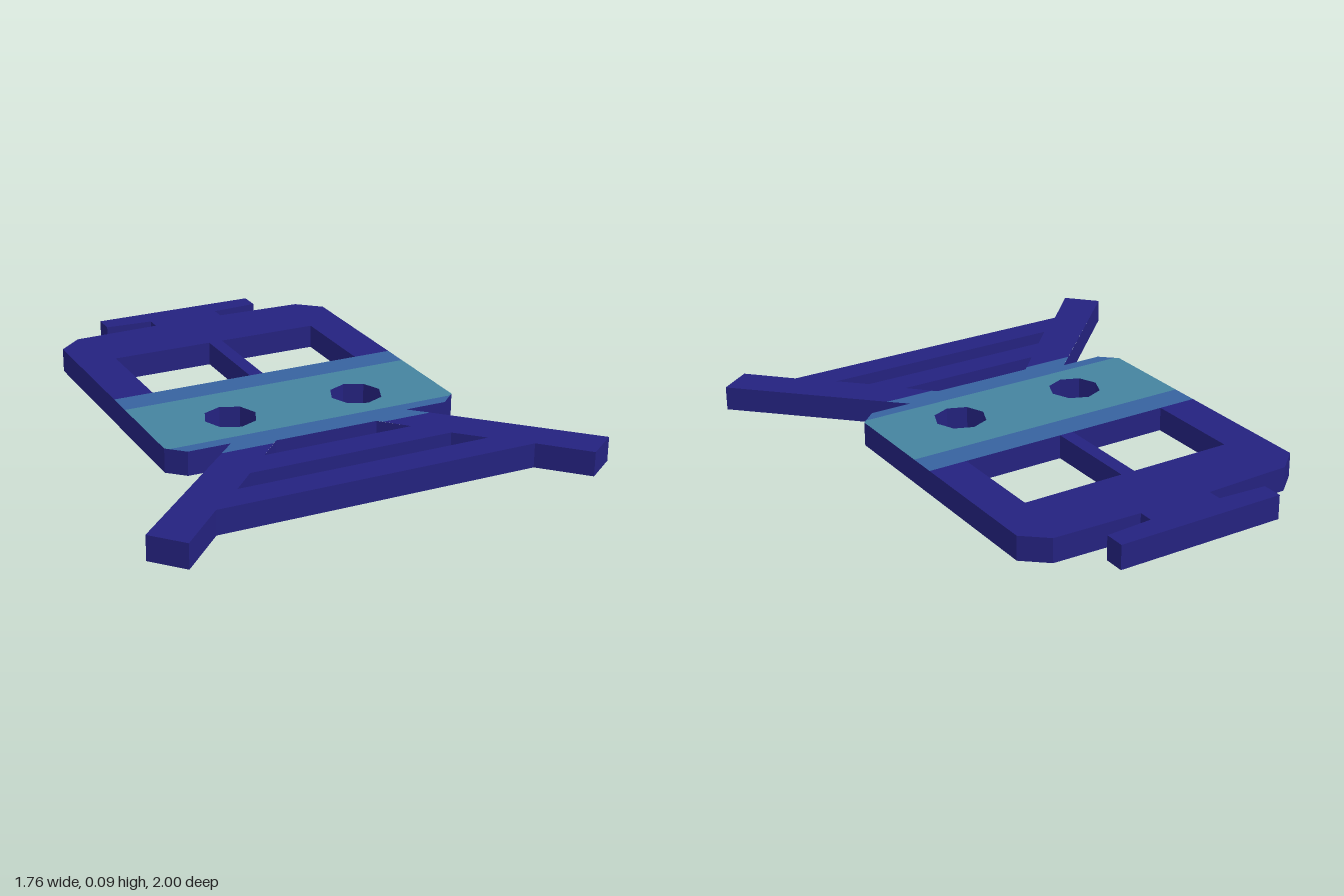
import * as THREE from 'three';

const H = 0.093; // plate thickness; the plate is a hollow shell, open underneath

const material = (name, color) => {
  const m = new THREE.MeshStandardMaterial({ color, side: THREE.DoubleSide, flatShading: true });
  m.name = name;
  return m;
};

// Points are [x, z]; the shape plane is laid flat so that z runs to the front
const toVectors = (pts) => pts.map(([x, z]) => new THREE.Vector2(x, -z));

function topFace(name, outline, mat, holes = []) {
  const shape = new THREE.Shape(toVectors(outline));
  holes.forEach((h) => shape.holes.push(new THREE.Path(toVectors(h))));
  const geo = new THREE.ShapeGeometry(shape);
  geo.rotateX(-Math.PI / 2).translate(0, H, 0);
  const mesh = new THREE.Mesh(geo, mat);
  mesh.name = name;
  return mesh;
}

// Upright band around a closed loop; outer loops run anticlockwise from above
function wall(name, loop, mat, isHole = false) {
  const pts = toVectors(loop);
  if (THREE.ShapeUtils.isClockWise(pts) !== isHole) pts.reverse();
  const pos = [];
  pts.forEach((a, i) => {
    const b = pts[(i + 1) % pts.length];
    pos.push(a.x, 0, -a.y, b.x, 0, -b.y, b.x, H, -b.y);
    pos.push(a.x, 0, -a.y, b.x, H, -b.y, a.x, H, -a.y);
  });
  const geo = new THREE.BufferGeometry();
  geo.setAttribute('position', new THREE.Float32BufferAttribute(pos, 3));
  geo.computeVertexNormals();
  const mesh = new THREE.Mesh(geo, mat);
  mesh.name = name;
  return mesh;
}

const rect = (x0, x1, z0, z1) => [[x0, z0], [x1, z0], [x1, z1], [x0, z1]];
const octagon = (cx, cz, r) => Array.from({ length: 8 }, (_, i) => {
  const a = (i * Math.PI) / 4;
  return [cx + r * Math.cos(a), cz + r * Math.sin(a)];
});

export function createModel() {
  const navy = material('navy', 0x24227f);
  const blue = material('blue', 0x37629f);
  const teal = material('teal', 0x45839f);
  const group = new THREE.Group();
  group.name = 'trainPlate';

  // Roof edge with the current collector, from the left side round to the right
  const roof = [
    [-0.58, -0.762], [-0.489, -0.841], [-0.145, -0.852], [-0.145, -0.908],
    [-0.333, -0.92], [-0.333, -1], [0.329, -1], [0.329, -0.92],
    [0.145, -0.908], [0.145, -0.852], [0.489, -0.841], [0.58, -0.762],
  ];
  const feetRight = [[0.878, 0.888], [0.76, 0.976], [0.611, 0.822]];
  const feetLeft = [[-0.611, 0.822], [-0.782, 1], [-0.883, 0.888]];

  // Openings
  const winZ = [-0.577, -0.188];
  const windows = [rect(-0.426, -0.025, ...winZ), rect(0.03, 0.43, ...winZ)];
  const lamps = [octagon(-0.257, 0.146, 0.1), octagon(0.257, 0.146, 0.1)];
  const upperGap = [[-0.198, 0.408], [0.204, 0.408], [0.294, 0.503], [-0.288, 0.503]];
  const lowerGap = [[-0.394, 0.614], [0.394, 0.614], [0.489, 0.709], [-0.484, 0.709]];

  // Cab top: roof, window pillars and centre post
  group.add(topFace('cab', [
    ...roof, [0.58, -0.188],
    [0.43, -0.188], [0.43, -0.577], [0.03, -0.577], [0.03, -0.188],
    [-0.025, -0.188], [-0.025, -0.577], [-0.426, -0.577], [-0.426, -0.188],
    [-0.58, -0.188],
  ], navy));

  // Coloured nose bands
  group.add(topFace('upperBand', rect(-0.58, 0.58, -0.188, -0.078), blue));
  group.add(topFace('nose', [
    [-0.58, -0.078], [0.58, -0.078], [0.58, 0.302], [0.566, 0.315], [-0.566, 0.315], [-0.58, 0.302],
  ], teal, lamps));
  group.add(topFace('lowerBand', [
    [-0.566, 0.315], [0.566, 0.315], [0.516, 0.362], [0.352, 0.362], [0.417, 0.425],
    [0.221, 0.425], [0.204, 0.408], [-0.198, 0.408], [-0.215, 0.425],
    [-0.415, 0.425], [-0.352, 0.362], [-0.516, 0.362],
  ], blue));

  // Rails and sleepers
  group.add(topFace('track', [
    [0.417, 0.425], ...feetRight, ...feetLeft, [-0.415, 0.425],
    [-0.215, 0.425], [-0.288, 0.503], [0.294, 0.503], [0.221, 0.425],
  ], navy, [lowerGap]));

  // Upright walls around the outline and every opening
  group.add(wall('outerWall', [
    ...roof, [0.58, 0.302], [0.516, 0.362], [0.352, 0.362],
    ...feetRight, ...feetLeft, [-0.352, 0.362], [-0.516, 0.362], [-0.58, 0.302],
  ], navy));
  windows.forEach((w, i) => group.add(wall(`windowWall${i + 1}`, w, navy, true)));
  lamps.forEach((l, i) => group.add(wall(`headlightWall${i + 1}`, l, navy, true)));
  [upperGap, lowerGap].forEach((g, i) => group.add(wall(`trackGapWall${i + 1}`, g, navy, true)));

  return group;
}
